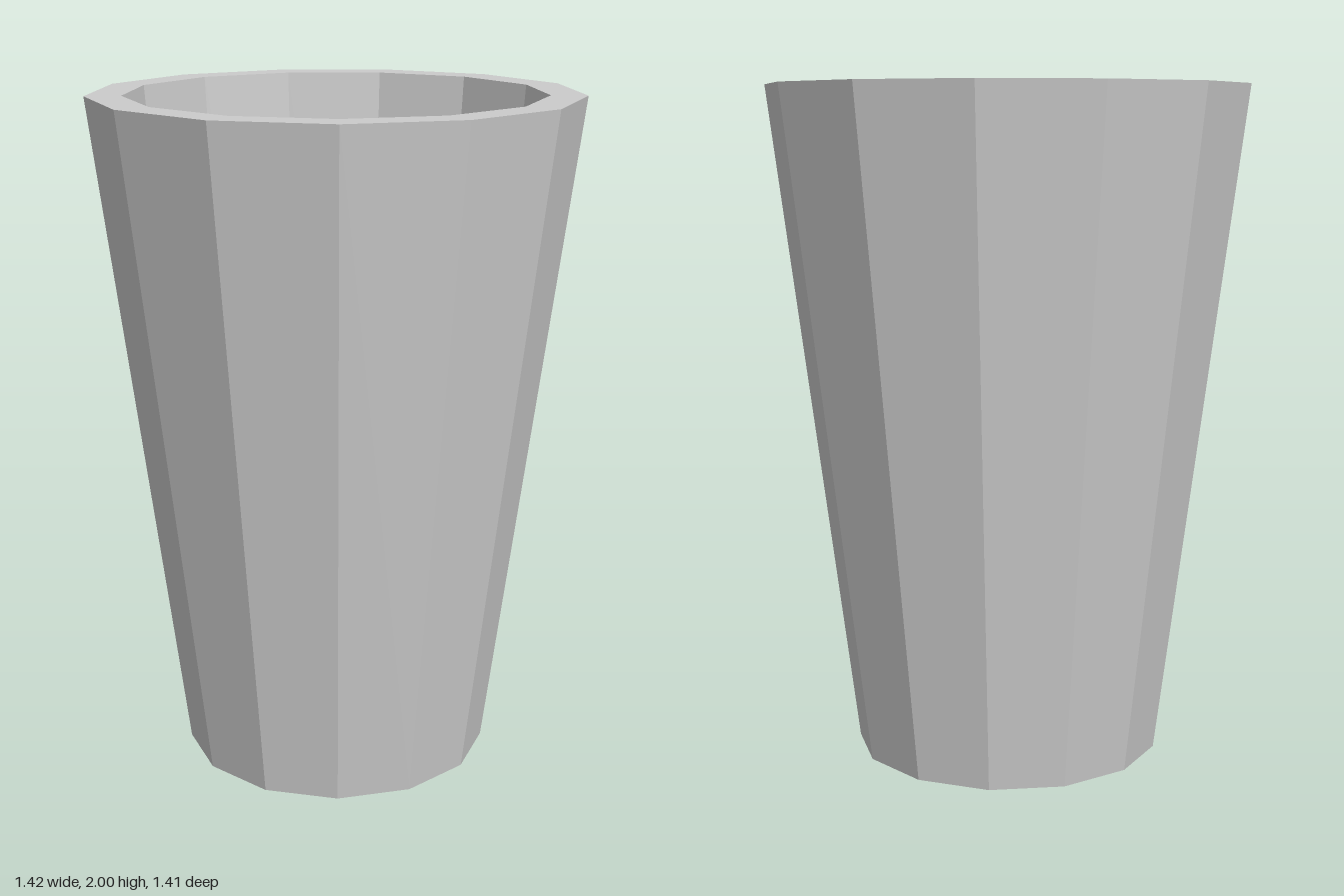
import * as THREE from 'three';

const SIDES = 13;

// Faceted solid of revolution with one corner pointing straight back
function faceted(name, profile, color) {
  const points = profile.map(([r, y]) => new THREE.Vector2(r, y));
  const geometry = new THREE.LatheGeometry(points, SIDES, Math.PI).toNonIndexed();
  geometry.computeVertexNormals();
  const material = new THREE.MeshStandardMaterial({ color, flatShading: true });
  const mesh = new THREE.Mesh(geometry, material);
  mesh.name = name;
  return mesh;
}

export function createModel() {
  const model = new THREE.Group();
  model.name = 'cupOfLiquid';

  // Tapered cup: base, outer wall, flat rim, inner wall and floor
  model.add(faceted('cup', [
    [0, 0], [0.46, 0], [0.713, 2], [0.608, 2], [0.455, 0.12], [0, 0.12],
  ], 0xcccccc));

  // Liquid surface a little below the rim
  model.add(faceted('liquid', [[0.595, 1.837], [0, 1.837]], 0x2be814));

  // Centre the odd-sided outline front to back
  model.children.forEach((part) => { part.position.z = 0.01; });
  return model;
}
